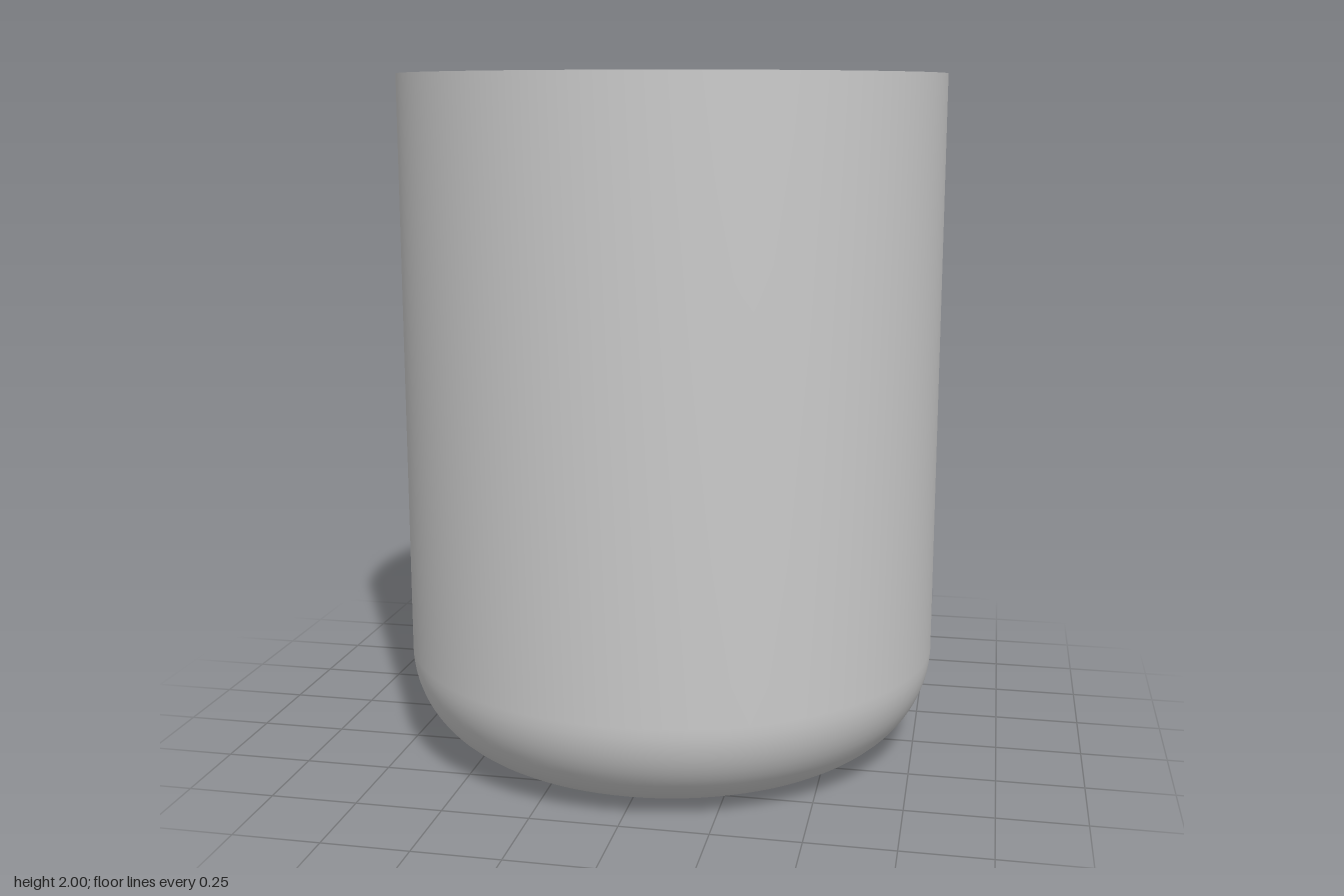
import * as THREE from 'three';
import { toCreasedNormals } from 'three/addons/utils/BufferGeometryUtils.js';

const OUTER = 0.795, INNER = 0.687, HEIGHT = 2, BEND = 0.3, FLOOR = 0.11;
const WAX_R = 0.695; // slightly let into the cup wall

// Height profile of the wax across x, split where it has a sharp crease
const WAVES = [
  [[-0.695, 1.81], [-0.65, 1.842], [-0.61, 1.85], [-0.57, 1.825], [-0.5, 1.768], [-0.41, 1.74], [-0.3, 1.765], [-0.195, 1.83]],
  [[-0.195, 1.83], [-0.15, 1.79], [-0.08, 1.75], [0, 1.727], [0.07, 1.722], [0.14, 1.742], [0.22, 1.805], [0.28, 1.865],
    [0.33, 1.888], [0.38, 1.88], [0.43, 1.855], [0.48, 1.803], [0.525, 1.735]],
  [[0.525, 1.735], [0.6, 1.739], [0.695, 1.765]],
];

const material = (color) => new THREE.MeshStandardMaterial({ color });

function addMesh(group, name, geometry, mat) {
  const mesh = new THREE.Mesh(geometry, mat);
  mesh.name = name;
  group.add(mesh);
  return mesh;
}

// Thick-walled cup with a rounded bottom edge
function cupGeometry() {
  const points = [new THREE.Vector2(0, 0)];
  for (let i = 0; i <= 16; i++) {
    const a = (i / 16) * Math.PI / 2;
    points.push(new THREE.Vector2(OUTER - BEND + BEND * Math.sin(a), BEND - BEND * Math.cos(a)));
  }
  points.push(
    new THREE.Vector2(OUTER, HEIGHT),
    new THREE.Vector2(INNER, HEIGHT),
    new THREE.Vector2(INNER, FLOOR),
    new THREE.Vector2(0, FLOOR),
  );
  return toCreasedNormals(new THREE.LatheGeometry(points, 96), 0.6);
}

// One wave of the wax: the profile drawn straight along z, cut to the round cup
function waveGeometry(profile) {
  const curve = new THREE.CatmullRomCurve3(profile.map(([x, y]) => new THREE.Vector3(x, y, 0)));
  const geometry = new THREE.PlaneGeometry(1, 1, 64, 4);
  const { position, uv } = geometry.attributes;
  for (let i = 0; i < position.count; i++) {
    const p = curve.getPoint(uv.getX(i));
    const halfWidth = Math.sqrt(Math.max(0, WAX_R * WAX_R - p.x * p.x));
    position.setXYZ(i, p.x, p.y, (1 - 2 * uv.getY(i)) * halfWidth);
  }
  geometry.computeVertexNormals();
  return geometry;
}

export function createModel() {
  const model = new THREE.Group();
  model.name = 'candle';
  const grey = material(0xcccccc);
  const orange = material(0xf57c0a);

  addMesh(model, 'cup', cupGeometry(), grey);

  const wax = new THREE.Group();
  wax.name = 'wax';
  WAVES.forEach((profile, i) => addMesh(wax, `waxWave${i + 1}`, waveGeometry(profile), orange));
  model.add(wax);

  // Wick standing in the middle of the wax
  const wick = addMesh(model, 'wick', new THREE.CylinderGeometry(0.012, 0.012, 0.157, 12), grey);
  wick.position.y = 1.857 - 0.157 / 2;

  return model;
}
